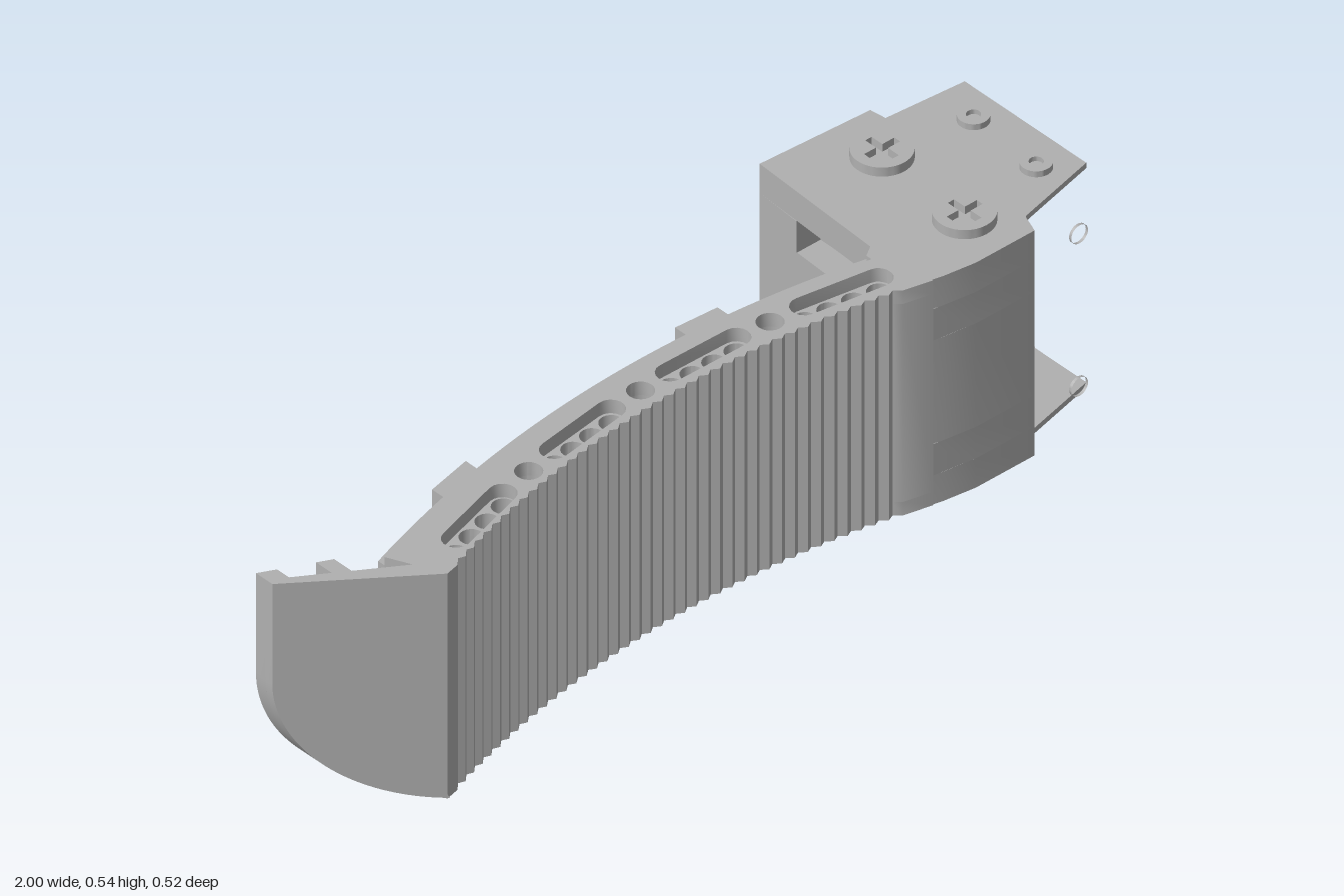
import * as THREE from 'three';
import { toCreasedNormals } from 'three/addons/utils/BufferGeometryUtils.js';

const grey = new THREE.MeshStandardMaterial({ color: 0xb0b0b0 });
grey.name = 'plain grey';
const greyThin = grey.clone();
greyThin.name = 'plain grey thin';
greyThin.side = THREE.DoubleSide;

const LOW = 0.02, HIGH = 0.52, MID = 0.27;

// Curves of the arm seen from above
const frontZ = x => 0.13 + 0.247 * (x + 0.043) ** 2;
const backZ = x => -0.015 + 0.227 * (x + 0.043) ** 2;
const holeZ = x => 0.08 + 0.25 * (x + 0.02) ** 2;

const range = (a, b, n) => Array.from({ length: n + 1 }, (_, i) => a + (b - a) * i / n);

export function createModel() {
  const model = new THREE.Group();
  model.name = 'curvedHandle';

  function add(geometry, name, parent = model, material = grey) {
    const mesh = new THREE.Mesh(toCreasedNormals(geometry, 0.5), material);
    mesh.name = name;
    parent.add(mesh);
    return mesh;
  }

  // Raises an outline of [x, z] points from y0 to y1
  function prism(points, y0, y1, name, holes = []) {
    const shape = new THREE.Shape(points.map(([x, z]) => new THREE.Vector2(x, -z)));
    shape.holes = holes;
    const g = new THREE.ExtrudeGeometry(shape, { depth: y1 - y0, bevelEnabled: false, curveSegments: 10 });
    g.rotateX(-Math.PI / 2).translate(0, y0, 0);
    return add(g, name);
  }

  // Same prism at the top and, mirrored about mid height, at the bottom
  function prismPair(points, y0, y1, name, holes) {
    prism(points, y0, y1, name, holes);
    prism(points, 2 * MID - y1, 2 * MID - y0, name, holes);
  }

  function circlePath(x, z, r) {
    return new THREE.Path().absarc(x, -z, r, 0, Math.PI * 2, true);
  }

  // Long slot following the arm
  function slotPath(x, half, r) {
    const slope = 0.5 * (x + 0.02), a = Math.atan(slope);
    const at = (u, v) => new THREE.Vector2(
      x + u * Math.cos(a) - v * Math.sin(a),
      -(holeZ(x) + u * Math.sin(a) + v * Math.cos(a)));
    const pts = [];
    for (const t of range(-Math.PI / 2, Math.PI / 2, 8)) pts.push(at(half + r * Math.cos(t), r * Math.sin(t)));
    for (const t of range(Math.PI / 2, Math.PI * 1.5, 8)) pts.push(at(-half + r * Math.cos(t), r * Math.sin(t)));
    return new THREE.Path(pts);
  }

  // Arm with ribbed front, slots and through holes
  const ribs = 40, pitch = 1.12 / ribs;
  const outline = [[-0.8, 0.14]];
  outline.push([-0.75, 0.25]);
  for (let i = 0; i < ribs; i++) {
    const x = -0.72 + i * pitch;
    outline.push([x, frontZ(x)], [x + pitch / 2, frontZ(x + pitch / 2) - 0.009]);
  }
  outline.push([0.4, frontZ(0.4)], [0.46, frontZ(0.46)]);
  for (const x of range(0.46, -0.77, 32)) outline.push([x, backZ(x) + 0.04]);

  const throughHoles = [], capHoles = [];
  for (let i = 0; i < 4; i++) {
    const x = -0.595 + i * 0.304;
    capHoles.push(slotPath(x, 0.078, 0.027));
    for (let j = 0; j < 4; j++) {
      const hx = x + (j - 1.5) * 0.051;
      throughHoles.push(circlePath(hx, holeZ(hx), 0.023));
    }
    if (i < 3) {
      const hx = x + 0.152;
      throughHoles.push(circlePath(hx, holeZ(hx), 0.026));
      capHoles.push(circlePath(hx, holeZ(hx), 0.026));
    }
  }
  prism(outline, LOW + 0.03, HIGH - 0.03, 'armCore', throughHoles);
  prismPair(outline, HIGH - 0.03, HIGH, 'armCap', capHoles);

  // Two rails on the back of the arm, with pads
  const strip = (x0, x1, out, inn, n) => [
    ...range(x0, x1, n).map(x => [x, backZ(x) + out]),
    ...range(x1, x0, n).map(x => [x, backZ(x) + inn])];
  prismPair(strip(-0.79, 0.46, 0, 0.06, 32), 0.34, 0.49, 'rail');
  for (const [a, b] of [[0.06, 0.155], [-0.575, -0.475]])
    prismPair(strip(a, b, -0.033, 0.02, 1), 0.335, 0.485, 'railPad');

  // Bent tip: shapes in x and y, fitted between its back and front faces
  function tipLayer(shape, t0, t1, name) {
    const g = new THREE.ExtrudeGeometry(shape, { depth: t1 - t0, bevelEnabled: false, curveSegments: 20 });
    const p = g.attributes.position;
    for (let i = 0; i < p.count; i++) {
      const x = p.getX(i), front = 0.065 + 0.74 * (x + 1), back = 0.022 + 0.48 * (x + 1);
      p.setZ(i, back + (front - back) * (t0 + p.getZ(i)));
    }
    add(g, name);
  }
  const skin = new THREE.Shape();
  skin.moveTo(-0.75, HIGH).lineTo(-1, HIGH).lineTo(-1, 0.3);
  skin.absellipse(-0.72, 0.3, 0.28, 0.28, Math.PI, Math.PI * 1.47, false);
  skin.lineTo(-0.75, 0.03);
  tipLayer(skin, 0.6, 1, 'tipSkin');
  const rim = new THREE.Shape();
  rim.moveTo(-0.9, HIGH).lineTo(-0.9, 0.45).lineTo(-0.965, 0.45).lineTo(-0.965, HIGH);
  rim.lineTo(-1, HIGH).lineTo(-1, 0.3);
  rim.absellipse(-0.72, 0.3, 0.28, 0.28, Math.PI, Math.PI * 1.45, false);
  rim.lineTo(-0.76, 0.08);
  rim.absellipse(-0.72, 0.3, 0.22, 0.22, Math.PI * 1.44, Math.PI, true);
  rim.lineTo(-0.94, 0.42).lineTo(-0.87, 0.42).lineTo(-0.87, HIGH);
  tipLayer(rim, 0, 0.6, 'tipRim');

  // Head block: solid layers with open channels between
  const block = [[0.46, -0.265], [0.71, -0.25], [0.715, -0.21], [0.715, 0.16], [0.705, 0.165],
    [0.69, 0.205], [0.55, 0.205], [0.48, 0.195], [0.42, 0.18], [0.42, 0.06], [0.443, 0.045]];
  const channel = [[0.46, -0.265], [0.71, -0.25], [0.713, -0.205], [0.54, -0.205], [0.54, 0.175],
    [0.70, 0.175], [0.69, 0.205], [0.55, 0.205], [0.45, 0.19], [0.45, 0.03], [0.51, 0.03],
    [0.51, -0.16], [0.453, -0.16]];
  prismPair(block, 0.455, HIGH, 'headEnd');
  prismPair(channel, 0.385, 0.455, 'headChannel');
  prism(block, 0.155, 0.385, 'headMiddle');

  // Bracket: thin flanges and back wall
  prismPair([[0.70, 0.165], [0.89, 0.12], [0.89, -0.2], [0.71, -0.213]], 0.508, HIGH, 'bracketFlange');
  prism([[0.71, -0.215], [0.89, -0.2], [0.89, -0.188], [0.71, -0.2]], LOW, HIGH, 'bracketWall');

  // Pointed slivers on the inner faces of the flanges
  for (const up of [true, false]) {
    const y = up ? 0.032 : 0.508;
    const pts = [[0.89, -0.1], [0.89, -0.015], [1, -0.168]];
    if (!up) pts.reverse();
    const g = new THREE.BufferGeometry().setFromPoints(pts.map(([x, z]) => new THREE.Vector3(x, y, z)));
    add(g, 'flangePoint');
  }

  // Framed port on the end face
  const box = (Kind, w, h) => new Kind([[-w, -h], [w, -h], [w, h], [-w, h]]
    .map(([a, b]) => new THREE.Vector2(a, b)));
  const frame = box(THREE.Shape, 0.081, 0.037);
  frame.holes.push(box(THREE.Path, 0.065, 0.026));
  const frameGeo = new THREE.ExtrudeGeometry(frame, { depth: 0.018, bevelEnabled: false });
  add(frameGeo.rotateY(Math.PI / 2).translate(0.713, 0.272, -0.06), 'portFrame');
  add(new THREE.BoxGeometry(0.01, 0.042, 0.11).translate(0.716, 0.272, -0.057), 'portCore');

  // Screws, mirrored top and bottom
  function screw(x, z, r, h, cross) {
    const head = new THREE.Shape().absarc(0, 0, r, 0, Math.PI * 2, false);
    const a = r * 0.62, b = r * 0.13;
    head.holes.push(cross
      ? new THREE.Path([[a, b], [b, b], [b, a], [-b, a], [-b, b], [-a, b], [-a, -b], [-b, -b],
        [-b, -a], [b, -a], [b, -b], [a, -b]].map(([u, v]) => new THREE.Vector2(u, v)))
      : new THREE.Path().absarc(0, 0, r * 0.45, 0, Math.PI * 2, true));
    for (const side of [1, -1]) {
      const group = new THREE.Group();
      group.name = cross ? 'largeScrew' : 'smallScrew';
      const g = new THREE.ExtrudeGeometry(head, { depth: h, bevelEnabled: false, curveSegments: 24 });
      add(g.rotateX(-Math.PI / 2), 'screwHead', group);
      add(new THREE.CylinderGeometry(r * 0.9, r * 0.9, 0.006, 24), 'screwSeat', group);
      group.position.set(x, MID + side * 0.25, z);
      if (side < 0) group.rotation.x = Math.PI;
      model.add(group);
    }
  }
  for (const [x, z] of [[0.634, -0.135], [0.62, 0.098]]) {
    screw(x, z, 0.058, 0.02, true);
    add(new THREE.CylinderGeometry(0.028, 0.028, 0.48, 24).translate(x, MID, z), 'screwShaft');
  }
  screw(0.826, -0.106, 0.03, 0.013, false);
  screw(0.816, 0.07, 0.03, 0.013, false);

  // Small loose rings in front of the bracket
  for (const y of [0.442, 0.103]) {
    const g = new THREE.CylinderGeometry(0.02, 0.02, 0.006, 24, 1, true);
    add(g.rotateX(Math.PI / 2).translate(0.81, y, 0.188), 'smallRing', model, greyThin);
  }
  return model;
}
